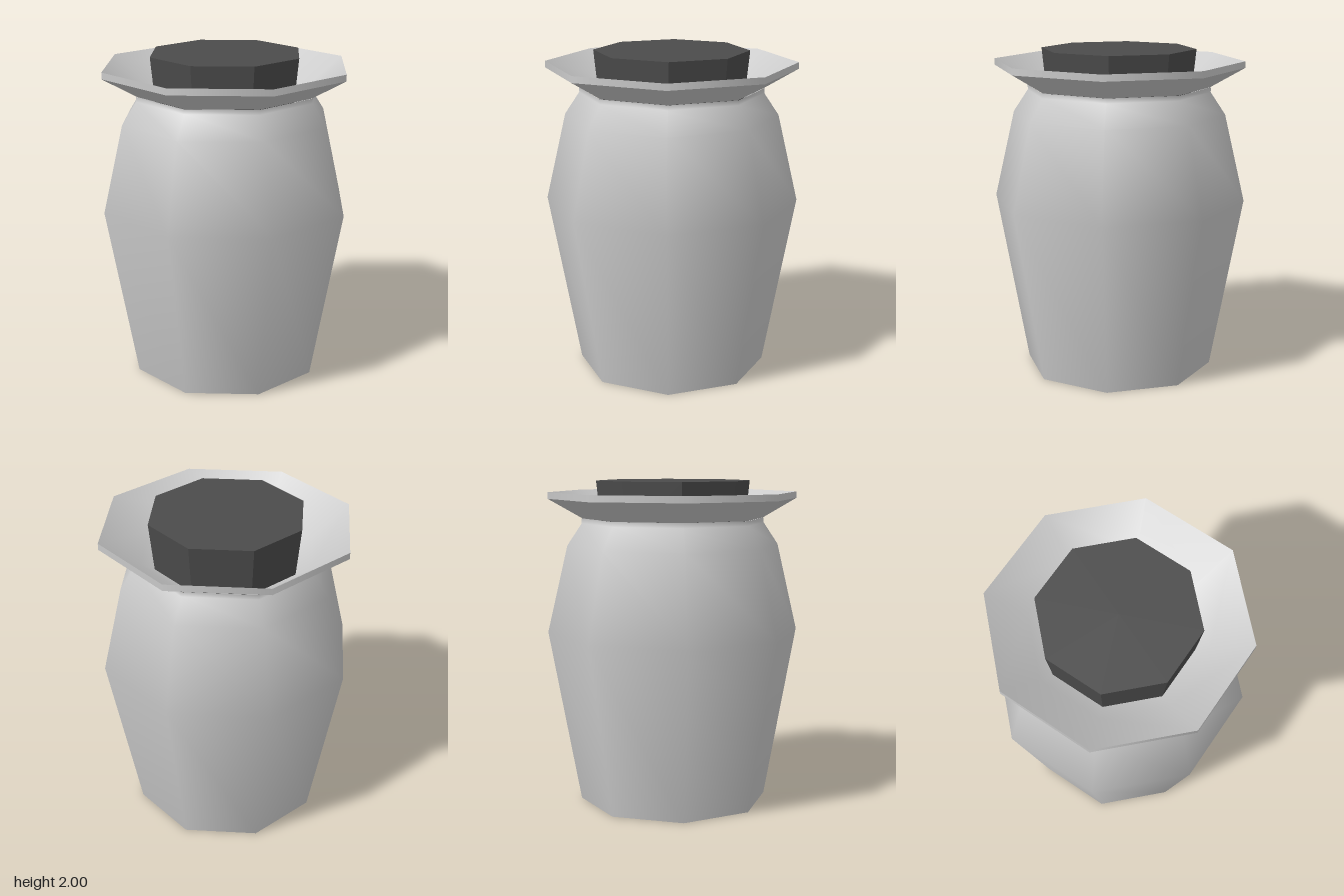
import * as THREE from 'three';

const SIDES = 8;
const grey = new THREE.MeshStandardMaterial({ color: 0xcccccc });
const dark = new THREE.MeshStandardMaterial({ color: 0x4c4c4c, flatShading: true });

// Eight-sided turned surface; separate calls keep the edges between them sharp
function turned(name, profile, material = grey) {
  const points = profile.map(([r, y]) => new THREE.Vector2(r, y));
  const mesh = new THREE.Mesh(new THREE.LatheGeometry(points, SIDES), material);
  mesh.name = name;
  return mesh;
}

export function createModel() {
  const group = new THREE.Group();
  group.name = 'stopperedJar';

  // Jar: flat base, swelling body and short neck
  group.add(turned('base', [[0, 0], [0.585, 0]]));
  group.add(turned('body', [[0.585, 0], [0.78, 1.07], [0.655, 1.605], [0.565, 1.74], [0.565, 1.77]]));

  // Flared lip with a thin upright edge and a hollow mouth
  group.add(turned('lipUnderside', [[0.56, 1.77], [0.77, 1.89]]));
  group.add(turned('lipEdge', [[0.77, 1.89], [0.77, 1.93]]));
  group.add(turned('mouth', [[0.77, 1.93], [0.53, 1.75], [0.42, 1.69]]));

  // Dark tapered stopper
  const stopper = new THREE.Mesh(new THREE.CylinderGeometry(0.475, 0.44, 0.34, SIDES), dark);
  stopper.name = 'stopper';
  stopper.position.y = 1.83;
  group.add(stopper);

  return group;
}
